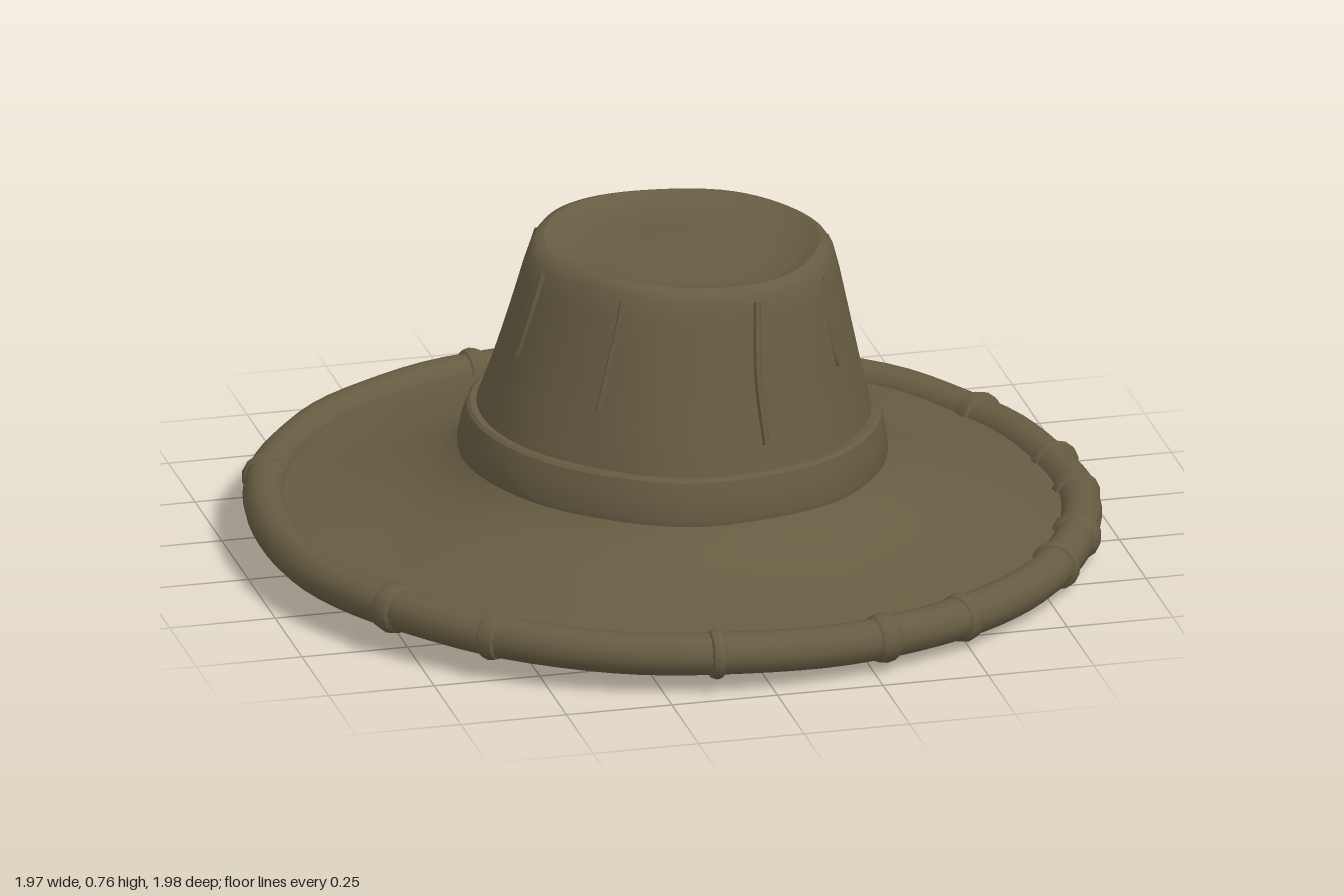
import * as THREE from 'three';
import { mergeVertices, toCreasedNormals } from 'three/addons/utils/BufferGeometryUtils.js';

const felt = new THREE.MeshStandardMaterial({ color: 0x665c42, side: THREE.DoubleSide });
felt.name = 'olive brown felt';

// Smooth, repeatable lumpiness taken from a point in space
const lump = (x, y, z) =>
  Math.sin(7 * x + 3 * y + 1.3) * Math.sin(6 * z - 4 * y + 0.4) * 0.6 +
  Math.sin(15 * x - 8 * z + 2 * y) * 0.3 + Math.sin(13 * z + 11 * x + 5 * y + 2) * 0.3;

// Uneven hand-made look: push vertices outward and up, lean the crown slightly
function weather(geo, out, up) {
  const p = geo.attributes.position;
  for (let i = 0; i < p.count; i++) {
    const x = p.getX(i), y = p.getY(i), z = p.getZ(i);
    const r = Math.hypot(x, z) || 1;
    const n = lump(x, y, z);
    const s = 1 + (out * n * Math.min(1, r * 4)) / r;
    p.setXYZ(i, x * s + 0.02 * Math.max(0, y - 0.3), y + up * lump(z + 2, y, x - 1), z * s);
  }
  return geo;
}

function finish(name, geo, crease = 0.7) {
  geo.deleteAttribute('uv');
  geo.deleteAttribute('normal');
  const mesh = new THREE.Mesh(toCreasedNormals(mergeVertices(geo, 1e-4), crease), felt);
  mesh.name = name;
  return mesh;
}

function lathe(name, pts, out, up, crease) {
  const geo = new THREE.LatheGeometry(pts.map(([r, y]) => new THREE.Vector2(r, y)), 72);
  return finish(name, weather(geo, out, up), crease);
}

export function createModel() {
  const root = new THREE.Group();
  root.name = 'hat';
  const hat = new THREE.Group();
  hat.name = 'tiltedHat';
  hat.rotation.z = -0.026;
  root.add(hat);

  // Tapered crown with a soft lip and a sunken top
  const crown = [
    [0.475, 0.23], [0.462, 0.3], [0.448, 0.36], [0.425, 0.44], [0.405, 0.52], [0.385, 0.6],
    [0.365, 0.68], [0.35, 0.73], [0.335, 0.75], [0.318, 0.756], [0.3, 0.748],
    [0.27, 0.735], [0.2, 0.73], [0.1, 0.732], [0.0001, 0.735]
  ];
  hat.add(lathe('crown', crown, 0.008, 0.008, 0.7));

  // Flared brim
  const brim = [
    [0.95, 0.1], [0.88, 0.11], [0.8, 0.12], [0.72, 0.137], [0.65, 0.153],
    [0.59, 0.175], [0.54, 0.2], [0.5, 0.228], [0.472, 0.26]
  ];
  hat.add(lathe('brim', brim, 0.003, 0.005));

  // Hollow inside, following the brim and crown
  const lining = [
    [0.0001, 0.705], [0.2, 0.7], [0.31, 0.7], [0.345, 0.66], [0.385, 0.52],
    [0.425, 0.36], [0.455, 0.25], [0.49, 0.21], [0.56, 0.165], [0.65, 0.132],
    [0.75, 0.107], [0.85, 0.09], [0.95, 0.08]
  ];
  hat.add(lathe('lining', lining, 0.003, 0.004));

  // Band around the foot of the crown
  const band = [
    [0.462, 0.232], [0.492, 0.236], [0.494, 0.25], [0.486, 0.3],
    [0.476, 0.338], [0.468, 0.345], [0.442, 0.342]
  ];
  hat.add(lathe('hatBand', band, 0.004, 0.004, 0.5));

  // Rolled rim
  const rimRadius = 0.938, rimHeight = 0.094;
  const rim = new THREE.TorusGeometry(rimRadius, 0.049, 12, 96);
  rim.rotateX(Math.PI / 2);
  rim.translate(0, rimHeight, 0);
  hat.add(finish('rolledRim', weather(rim, 0.005, 0.004), 1));

  // Ties wrapped round the rim, at uneven spacing (degrees from +x toward +z)
  const ties = [-6, 6, 22, 34, 59, 73, 98, 130, 147, 202, 255, 280, 301, 333];
  ties.forEach((deg, i) => {
    const wide = 0.018 + 0.006 * (i % 3);
    const profile = [[0.044, -wide], [0.055, -wide * 0.7], [0.059, 0], [0.055, wide * 0.7], [0.044, wide]];
    const geo = new THREE.LatheGeometry(profile.map(([r, y]) => new THREE.Vector2(r, y)), 14);
    const tie = finish('rimTie', geo);
    const a = THREE.MathUtils.degToRad(deg);
    tie.position.set(Math.cos(a) * rimRadius, rimHeight, Math.sin(a) * rimRadius);
    tie.rotation.set(Math.PI / 2, 0, 0);
    const turn = new THREE.Quaternion().setFromAxisAngle(
      new THREE.Vector3(0, 1, 0), -a + 0.12 * Math.sin(i * 2.3));
    tie.quaternion.premultiply(turn);
    hat.add(tie);
  });

  // Raised fold seams running down the crown
  const seams = [-60, -8, 38, 75, 128, 170, 215, 262];
  seams.forEach((deg, i) => {
    const a = THREE.MathUtils.degToRad(deg);
    const low = 0.4 + 0.07 * (i % 3);
    const points = [0.72, 0.64, 0.54, low].map((y) => {
      const r = 0.353 + (0.72 - y) * 0.254;
      const b = a + 0.03 * Math.sin(y * 9 + i);
      return new THREE.Vector3(Math.cos(b) * r + 0.02 * (y - 0.3), y, Math.sin(b) * r);
    });
    const geo = new THREE.TubeGeometry(new THREE.CatmullRomCurve3(points), 10, 0.009, 6);
    hat.add(finish('crownFold', geo, 1));
  });

  return root;
}
